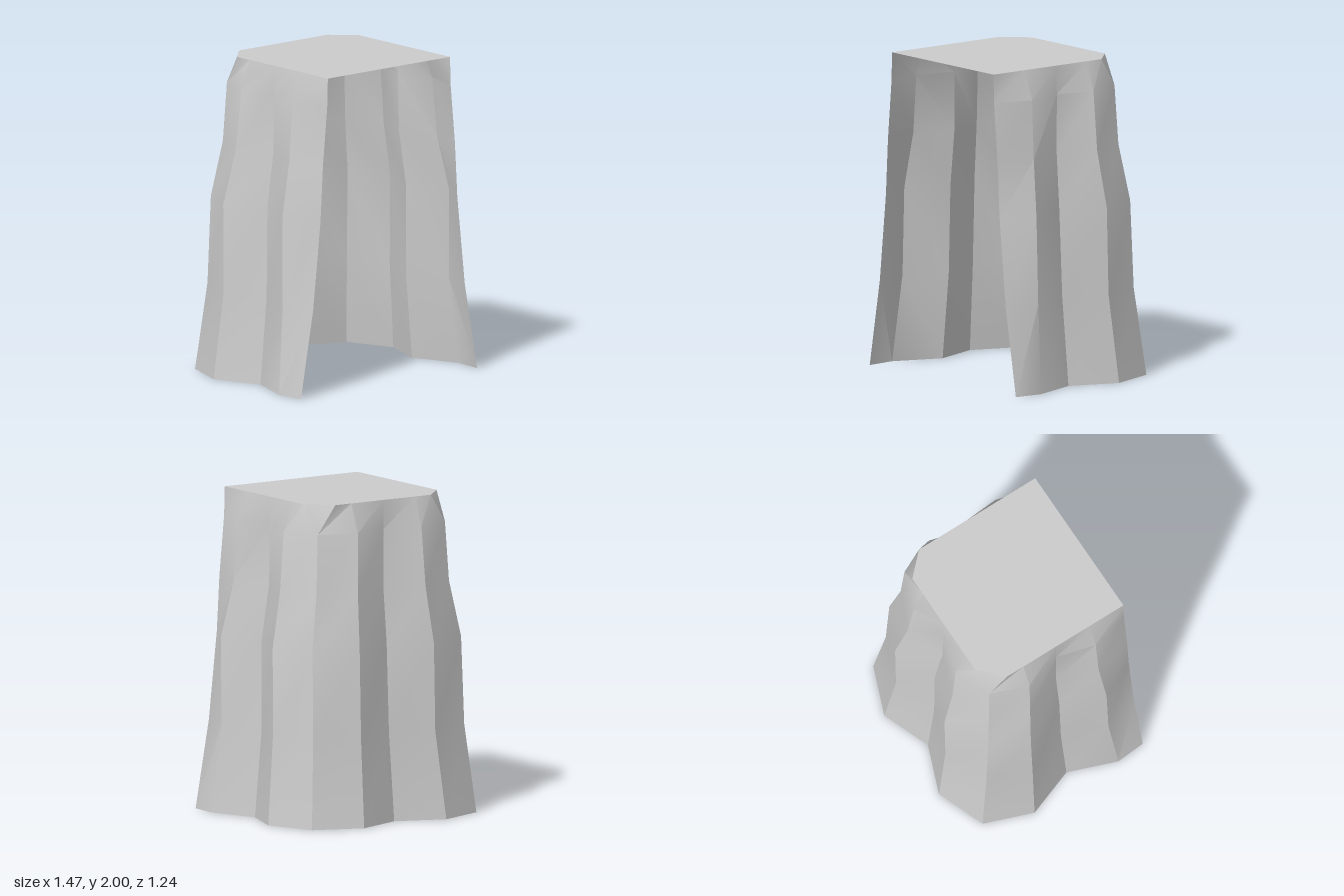
import * as THREE from 'three';
import { toCreasedNormals } from 'three/addons/utils/BufferGeometryUtils.js';

// heights of the cloth rings, hem to table edge
const levels = [0, 0.55, 1.1, 1.45, 1.82, 2];
// slight twist of the folds at each ring
const twist = [0, 0.005, 0.015, 0.005, 0, 0];

// vertical fold lines of the left half, from front edge to back centre: x and z per ring
const frontEdge = { x: [0.72, 0.62, 0.56, 0.54, 0.505, 0.5], z: [0.62, 0.62, 0.62, 0.62, 0.62, 0.62] };
const frontFold = { x: [0.735, 0.675, 0.67, 0.6, 0.57, 0.5], z: [0.43, 0.4, 0.4, 0.375, 0.37, 0.37], side: true };
const sideValley = { x: [0.62, 0.565, 0.555, 0.51, 0.505, 0.5], z: [0.12, 0.12, 0.125, 0.12, 0.12, 0.12], side: true };
const sideFold = { x: [0.735, 0.675, 0.67, 0.6, 0.57, 0.5], z: [-0.19, -0.16, -0.16, -0.13, -0.12, -0.12], side: true };
const cornerX = [0.62, 0.57, 0.56, 0.5, 0.48], cornerZ = [-0.5, -0.44, -0.42, -0.375, -0.36];
// the corner fold splits in two at the chamfered table corner
const cornerSide = { x: [...cornerX, 0.5], z: [...cornerZ, -0.24] };
const cornerBack = { x: [...cornerX, 0.36], z: [...cornerZ, -0.38] };
const backFold = { x: [0.31, 0.28, 0.28, 0.255, 0.24, 0.24], z: [-0.62, -0.55, -0.55, -0.48, -0.45, -0.38], back: true };
const backValley = { x: [0, 0, 0, 0, 0, 0], z: [-0.5, -0.45, -0.44, -0.39, -0.385, -0.38], back: true };
const half = [frontEdge, frontFold, sideValley, sideFold, cornerSide, cornerBack, backFold];

function foldLine(col, mirror) {
  return levels.map((y, i) => new THREE.Vector3(
    mirror * col.x[i] + (col.back ? twist[i] : 0),
    y,
    col.z[i] + (col.side ? mirror * twist[i] : 0)));
}

export function createModel() {
  const group = new THREE.Group();
  const material = new THREE.MeshStandardMaterial({ color: 0xcccccc, side: THREE.DoubleSide });
  const lines = [
    ...half.map(c => foldLine(c, 1)),
    foldLine(backValley, 1),
    ...half.slice().reverse().map(c => foldLine(c, -1)),
  ];

  // hanging cloth, open at the front
  const positions = [];
  const triangle = (a, b, c) => {
    if (a.equals(b) || b.equals(c) || a.equals(c)) return;
    for (const p of [a, b, c]) positions.push(p.x, p.y, p.z);
  };
  for (let i = 0; i < lines.length - 1; i++) {
    for (let j = 0; j < levels.length - 1; j++) {
      const a = lines[i][j], b = lines[i + 1][j];
      const c = lines[i + 1][j + 1], d = lines[i][j + 1];
      triangle(a, b, c);
      triangle(a, c, d);
    }
  }
  const drape = new THREE.BufferGeometry();
  drape.setAttribute('position', new THREE.Float32BufferAttribute(positions, 3));
  const skirt = new THREE.Mesh(toCreasedNormals(drape, Math.PI / 6), material);
  skirt.name = 'drapedSkirt';
  group.add(skirt);

  // flat top with chamfered back corners
  const outline = lines.map(l => l[levels.length - 1]).map(p => new THREE.Vector2(p.x, -p.z));
  const topGeometry = new THREE.ShapeGeometry(new THREE.Shape(outline));
  topGeometry.rotateX(-Math.PI / 2);
  const top = new THREE.Mesh(topGeometry, material);
  top.position.y = 2;
  top.name = 'clothTop';
  group.add(top);

  return group;
}
